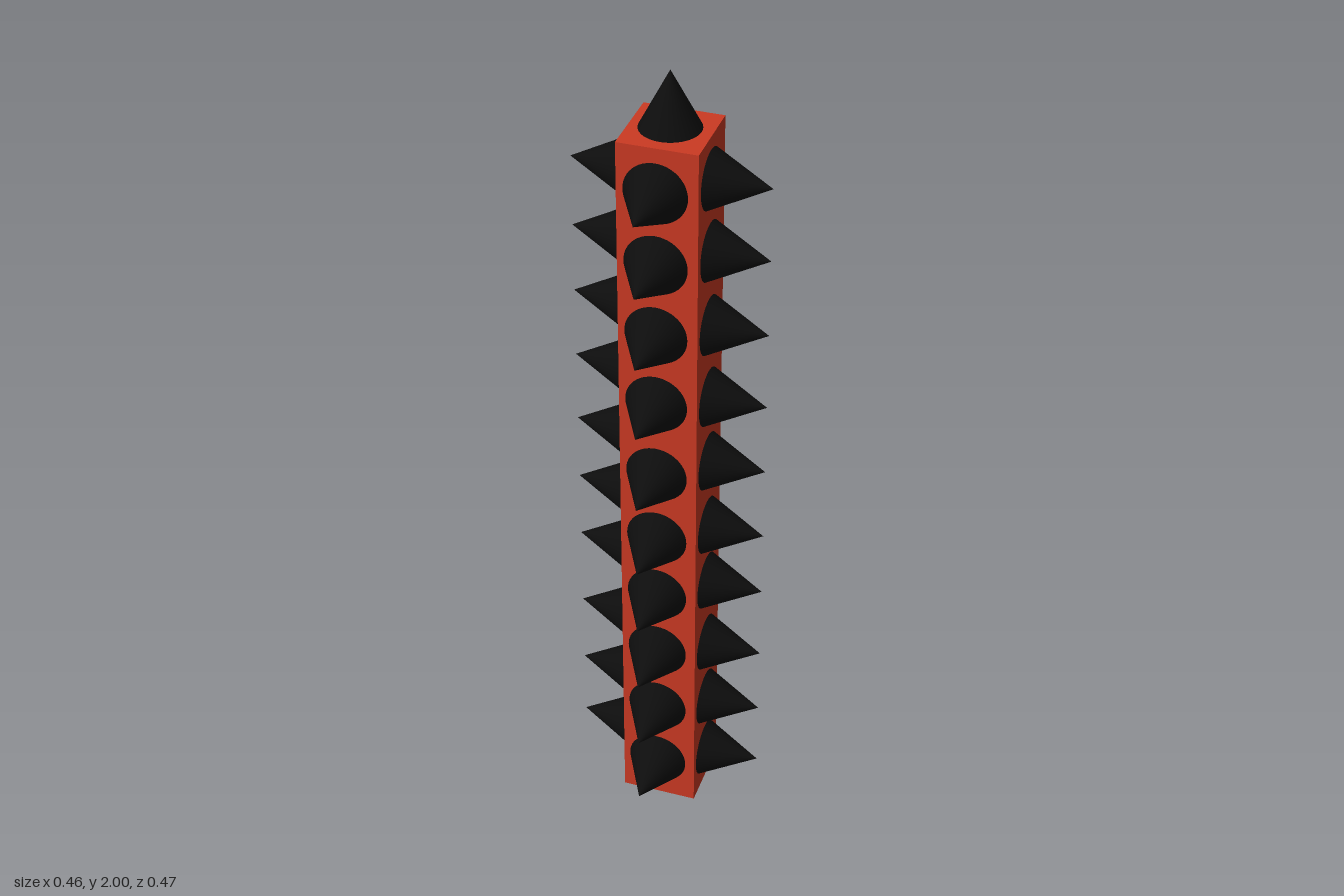
import * as THREE from 'three';

const red = new THREE.MeshStandardMaterial({ color: 0xcc3a23 });
red.name = 'red';
const black = new THREE.MeshStandardMaterial({ color: 0x0d0d0d });
black.name = 'black';

const HALF = 0.0927, TOP = 1.865;

// Cone whose base sits just inside the column and whose tip points along dir
function spike(name, base, dir, length, radius) {
  const geometry = new THREE.ConeGeometry(radius, length, 48);
  geometry.translate(0, length / 2, 0);
  const mesh = new THREE.Mesh(geometry, black);
  mesh.name = name;
  mesh.position.copy(base);
  mesh.quaternion.setFromUnitVectors(new THREE.Vector3(0, 1, 0), dir);
  return mesh;
}

export function createModel() {
  const model = new THREE.Group();
  model.name = 'spikedColumn';

  // Square column
  const column = new THREE.Mesh(new THREE.BoxGeometry(HALF * 2, TOP, HALF * 2), red);
  column.name = 'column';
  column.position.y = TOP / 2;
  model.add(column);

  // Hand-placed rows of spikes: direction, sideways offset, reach of the tip, heights
  const rows = [
    { name: 'frontSpike', dir: [0, 0, 1], side: [-0.004, 0], tip: 0.237, radius: 0.0755,
      heights: [0.114, 0.294, 0.477, 0.654, 0.826, 1.012, 1.211, 1.396, 1.578, 1.756] },
    { name: 'backSpike', dir: [0, 0, -1], side: [-0.003, 0], tip: 0.238, radius: 0.0755,
      heights: [0.088, 0.262, 0.437, 0.607, 0.771, 0.94, 1.1, 1.269, 1.438, 1.603, 1.764] },
    { name: 'leftSpike', dir: [1, 0, 0], side: [0, 0.006], tip: 0.232, radius: 0.0725,
      heights: [0.104, 0.278, 0.458, 0.654, 0.824, 1.013, 1.195, 1.39, 1.583, 1.763] },
    { name: 'rightSpike', dir: [-1, 0, 0], side: [0, -0.006], tip: 0.232, radius: 0.0725,
      heights: [0.135, 0.313, 0.501, 0.712, 0.886, 1.056, 1.236, 1.411, 1.582, 1.756] },
  ];
  for (const { name, dir, side, tip, radius, heights } of rows) {
    const row = new THREE.Group();
    row.name = name + 's';
    const d = new THREE.Vector3(...dir);
    const start = HALF - 0.004;
    for (const y of heights) {
      const base = d.clone().multiplyScalar(start).add(new THREE.Vector3(side[0], y, side[1]));
      row.add(spike(name, base, d, tip - start, radius));
    }
    model.add(row);
  }

  // Spike on the top end
  const up = new THREE.Vector3(0, 1, 0);
  model.add(spike('topSpike', new THREE.Vector3(-0.003, TOP - 0.003, -0.007), up, 2 - TOP + 0.003, 0.0715));

  return model;
}
